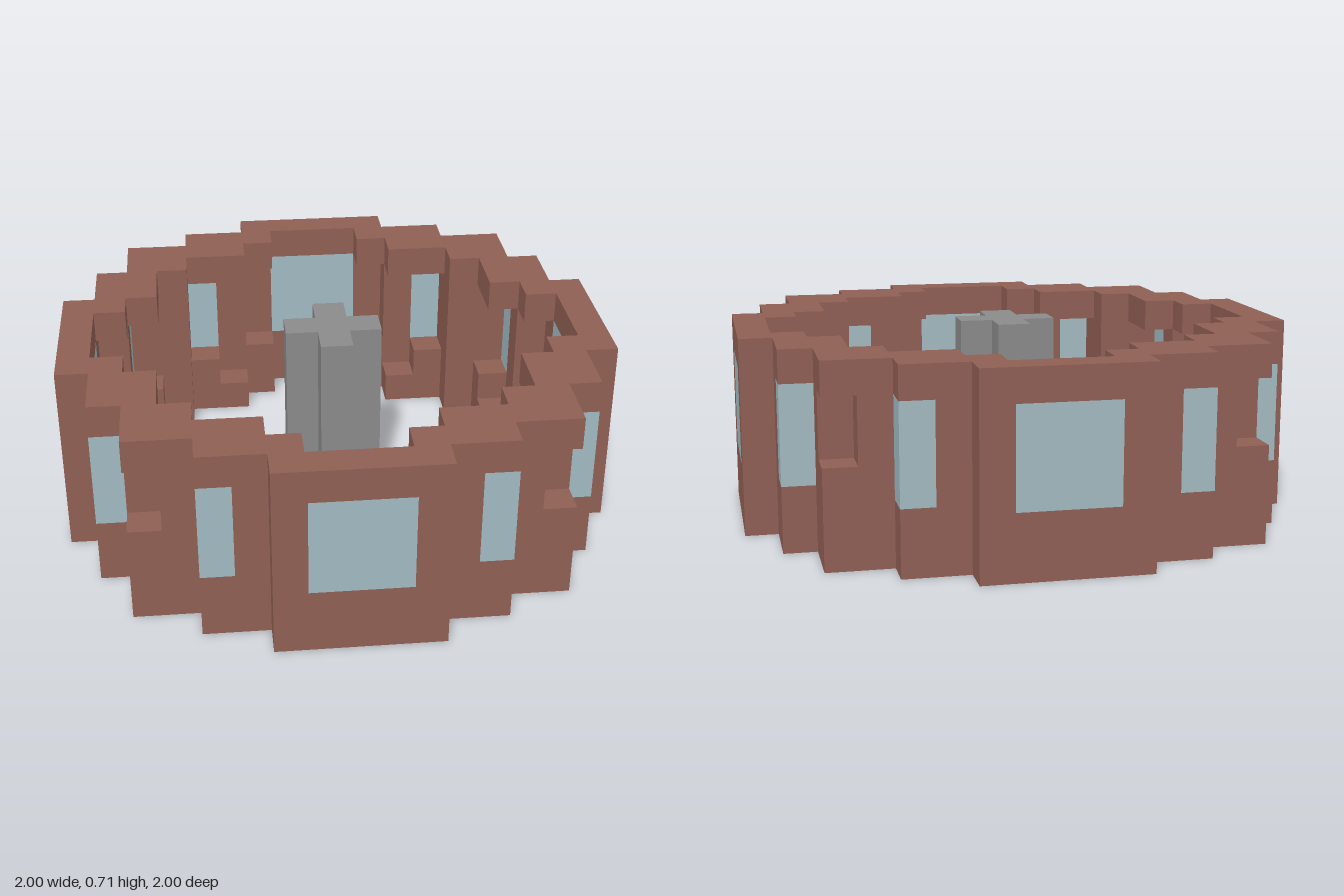
import * as THREE from 'three';
import { mergeGeometries } from 'three/addons/utils/BufferGeometryUtils.js';

const U = 2 / 17; // one block

// One eighth of the ring plan: [x, z, blocks from the ground up]
// b = base, w = wall, r = rim, g = glass, . = open
const PLAN = [
  [0, 8, 'bbgggr'], [1, 8, 'bbgggr'], [2, 8, 'bbwwwr'],
  [2, 7, 'bb...r'], [3, 7, 'bbwwwr'], [4, 7, 'bbgggr'],
  [3, 6, 'b....r'], [4, 6, 'bb...r'], [5, 6, 'bbwwwr'],
  [5, 5, 'bbwwwr'], [6, 6, 'bbw..r'],
];

// Face directions with the rotation that turns a +z plane towards them
const FACES = [
  [[0, 0, 1], 0, 0], [[0, 0, -1], 0, Math.PI],
  [[1, 0, 0], 0, Math.PI / 2], [[-1, 0, 0], 0, -Math.PI / 2],
  [[0, 1, 0], -Math.PI / 2, 0], [[0, -1, 0], Math.PI / 2, 0],
];

const key = (x, y, z) => `${x},${y},${z}`;

// Mirror the plan into the full ring and add the cross-shaped pillar
function layOutBlocks() {
  const blocks = new Map();
  const column = (x, z, rows) => [...rows].forEach((type, y) => {
    if (type !== '.') blocks.set(key(x, y, z), { x, y, z, type });
  });
  for (const [a, b, rows] of PLAN) {
    for (const sx of [1, -1]) {
      for (const sz of [1, -1]) {
        column(sx * a + 0, sz * b + 0, rows);
        column(sx * b + 0, sz * a + 0, rows);
      }
    }
  }
  for (const [x, z] of [[0, 0], [1, 0], [-1, 0], [0, 1], [0, -1]]) column(x, z, 'pppppp');
  return blocks;
}

// Outer faces of all blocks of one type
function exposedFaces(blocks, type) {
  const faces = [];
  for (const b of blocks.values()) {
    if (b.type !== type) continue;
    for (const [[dx, dy, dz], rx, ry] of FACES) {
      if (blocks.has(key(b.x + dx, b.y + dy, b.z + dz))) continue;
      faces.push(new THREE.PlaneGeometry(U, U).rotateX(rx).rotateY(ry)
        .translate((b.x + dx / 2) * U, (b.y + 0.5 + dy / 2) * U, (b.z + dz / 2) * U));
    }
  }
  return mergeGeometries(faces);
}

export function createModel() {
  const material = (name, color) => {
    const m = new THREE.MeshStandardMaterial({ color });
    m.name = name;
    return m;
  };
  const brick = material('brick', 0x8f5f54);
  const glass = material('glass', 0xa1b9c1);
  const stone = material('stone', 0x8a8a8a);

  const model = new THREE.Group();
  model.name = 'roundHall';
  const blocks = layOutBlocks();
  const parts = [
    ['steppedBase', 'b', brick],
    ['wallPiers', 'w', brick],
    ['topRim', 'r', brick],
    ['windows', 'g', glass],
    ['centralPillar', 'p', stone],
  ];
  for (const [name, type, mat] of parts) {
    const mesh = new THREE.Mesh(exposedFaces(blocks, type), mat);
    mesh.name = name;
    model.add(mesh);
  }
  return model;
}
